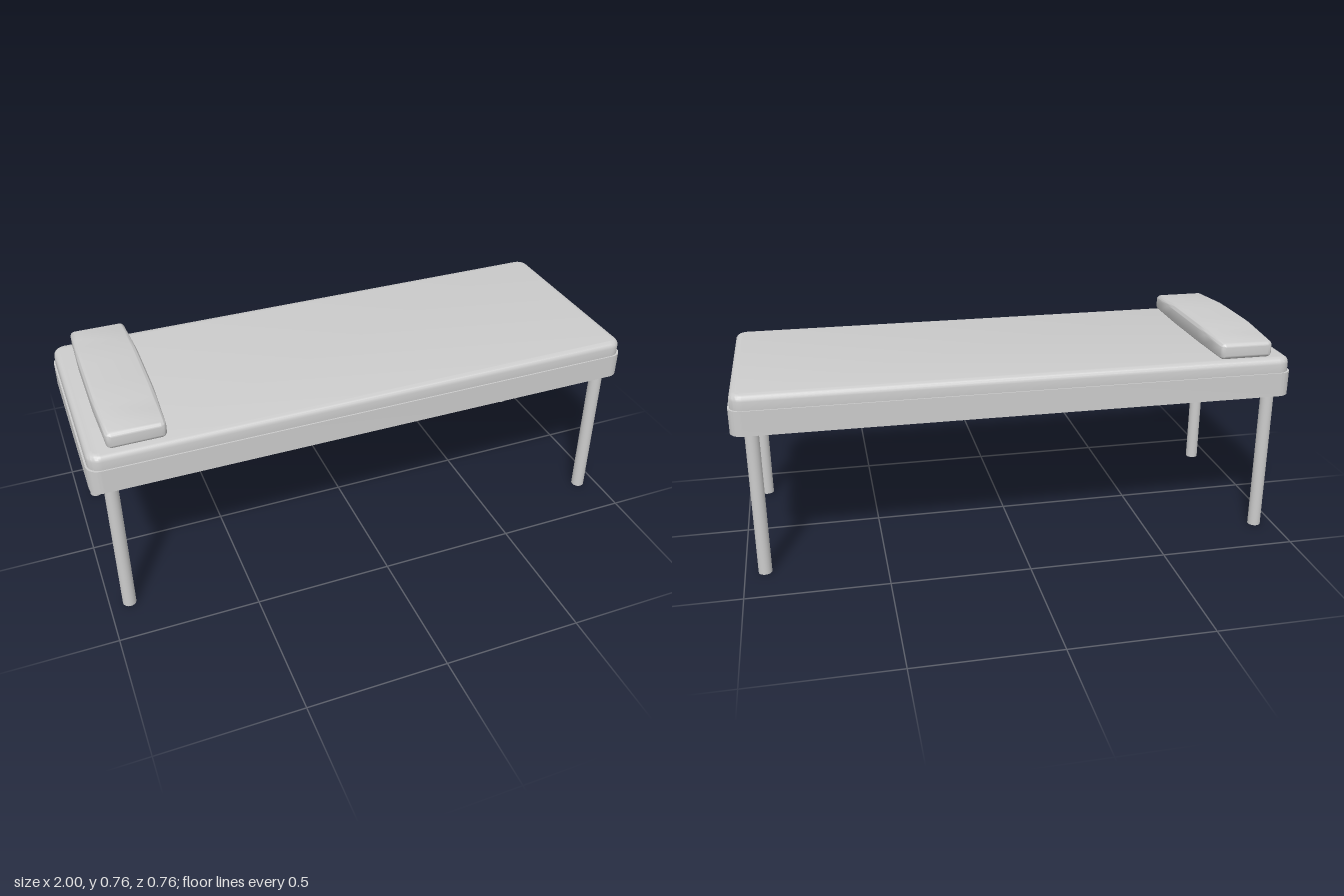
import * as THREE from 'three';
import { toCreasedNormals } from 'three/addons/utils/BufferGeometryUtils.js';

const material = new THREE.MeshStandardMaterial({ color: 0xcccccc });

// Rectangle with rounded corners, centred on the origin
function roundedRect(w, h, r) {
  const x = w / 2, y = h / 2, s = new THREE.Shape();
  s.absarc(x - r, y - r, r, 0, Math.PI / 2);
  s.absarc(-x + r, y - r, r, Math.PI / 2, Math.PI);
  s.absarc(-x + r, -y + r, r, Math.PI, Math.PI * 1.5);
  s.absarc(x - r, -y + r, r, Math.PI * 1.5, Math.PI * 2);
  s.closePath();
  return s;
}

// Extrudes a shape to an overall depth, with edges rounded inward
function extrude(shape, depth, bevel = 0, steps = 1) {
  const g = new THREE.ExtrudeGeometry(shape, {
    depth: depth - 2 * bevel, steps, curveSegments: 6,
    bevelEnabled: bevel > 0, bevelThickness: bevel, bevelSize: bevel,
    bevelOffset: -bevel, bevelSegments: 4,
  });
  return g.translate(0, 0, bevel);
}

function addMesh(group, name, geometry) {
  const mesh = new THREE.Mesh(geometry, material);
  mesh.name = name;
  group.add(mesh);
  return mesh;
}

export function createModel() {
  const group = new THREE.Group();
  group.name = 'massageTable';

  // Frame with upright rounded corners
  const frame = extrude(roundedRect(2, 0.756, 0.045), 0.089);
  frame.rotateX(-Math.PI / 2).translate(0, 0.543, 0);
  addMesh(group, 'frame', toCreasedNormals(frame, 0.7));

  // Mattress, its lower edge sunk into the frame
  const mattress = extrude(roundedRect(1.988, 0.746, 0.045), 0.085, 0.022);
  mattress.rotateX(-Math.PI / 2).translate(0, 0.6, 0);
  addMesh(group, 'mattress', toCreasedNormals(mattress, 0.7));

  // Pillow: bar along z, its top and sides tapering toward the ends
  const pillow = extrude(roundedRect(0.212, 0.075, 0.02), 0.7, 0.018, 10);
  pillow.translate(0, 0.0375, -0.35);
  const p = pillow.attributes.position;
  for (let i = 0; i < p.count; i++) {
    const t = Math.max(0, (Math.abs(p.getZ(i)) - 0.13) / 0.22);
    p.setY(i, p.getY(i) * (1 - 0.2 * t));
    p.setX(i, p.getX(i) * (1 - 0.07 * t));
  }
  addMesh(group, 'pillow', toCreasedNormals(pillow, 0.6)).position.set(-0.825, 0.686, 0);

  // Four round legs
  const leg = new THREE.CylinderGeometry(0.024, 0.024, 0.55, 20);
  for (const x of [-1, 1]) {
    for (const z of [-1, 1]) {
      const name = (z > 0 ? 'front' : 'back') + (x > 0 ? 'Left' : 'Right') + 'Leg';
      addMesh(group, name, leg).position.set(x * 0.93, 0.275, z * 0.329);
    }
  }
  return group;
}
